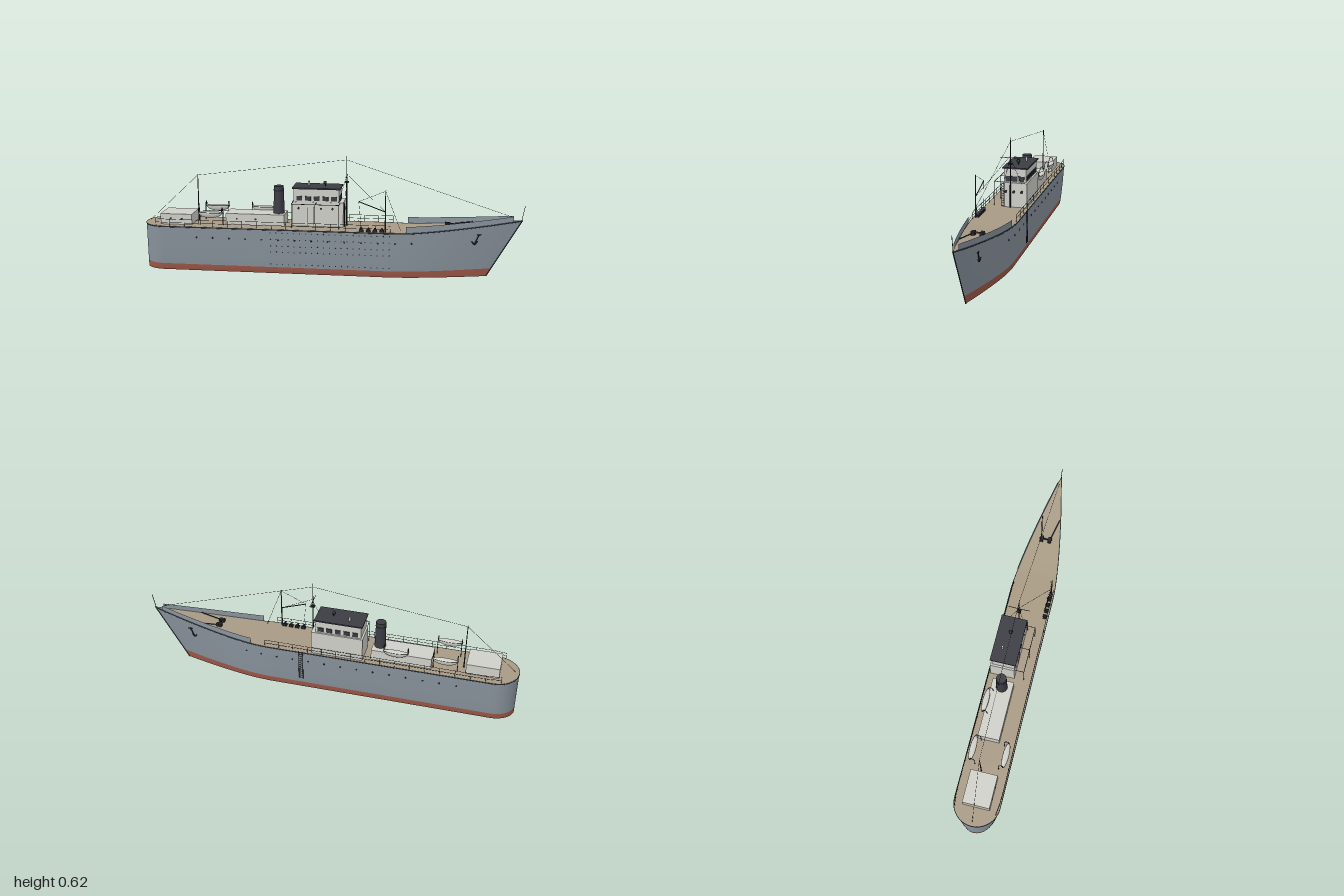
import * as THREE from 'three';

const V = (x, y, z) => new THREE.Vector3(x, y, z);
const mat = (name, color, side = THREE.FrontSide) => {
  const m = new THREE.MeshStandardMaterial({ color, side });
  m.name = name;
  return m;
};

// Hull rules: deck half width, sheer height, and a point on the side (t = 0 keel edge, 1 deck edge)
const half = x => {
  if (x < -0.883) return 0.117 * Math.sqrt(Math.max(0, 1 - ((x + 0.883) / 0.117) ** 2));
  return x < 0.3 ? 0.117 : 0.117 * (1 - Math.min(1, (x - 0.3) / 0.69) ** 1.4);
};
const sheer = x => 0.245 + 0.06 * (Math.max(0, x - 0.4) / 0.59) ** 1.3;
const hullPoint = (x, t, s) => V(
  x > 0.4 ? 0.4 + (x - 0.4) * (0.703 + 0.297 * t) : x,
  t * sheer(x),
  s * half(x) * (0.778 + 0.222 * t ** 0.65));

// Smooth surface through a grid of points
function grid(nu, nv, f) {
  const pos = [], idx = [];
  for (let i = 0; i <= nu; i++) for (let j = 0; j <= nv; j++) pos.push(...f(i, j / nv).toArray());
  for (let i = 0; i < nu; i++) for (let j = 0; j < nv; j++) {
    const a = i * (nv + 1) + j, b = a + nv + 1;
    idx.push(a, b, a + 1, b, b + 1, a + 1);
  }
  const g = new THREE.BufferGeometry();
  g.setAttribute('position', new THREE.Float32BufferAttribute(pos, 3));
  g.setIndex(idx);
  g.computeVertexNormals();
  return g;
}

export function createModel() {
  const root = new THREE.Group();
  root.name = 'ship';
  const hullGrey = mat('hull grey', 0x8a949e, THREE.DoubleSide);
  const red = mat('bottom red', 0xa25a4a, THREE.DoubleSide);
  const tan = mat('deck tan', 0xa89b85, THREE.DoubleSide);
  const white = mat('house white', 0xd0d0ca);
  const dark = mat('fitting black', 0x26282c);
  const roofGrey = mat('roof charcoal', 0x3c3c44);
  const trim = mat('trim slate', 0x3a4149);
  const glass = mat('window glass', 0x363b42);

  const add = (name, geo, m, p, parent = root) => {
    const mesh = new THREE.Mesh(geo, m);
    mesh.name = name;
    if (p) mesh.position.copy(p);
    parent.add(mesh);
    return mesh;
  };
  const group = name => {
    const g = new THREE.Group();
    g.name = name;
    root.add(g);
    return g;
  };
  // Box given by its limits
  const box = (name, m, x0, x1, y0, y1, z0, z1, parent) =>
    add(name, new THREE.BoxGeometry(x1 - x0, y1 - y0, z1 - z0), m,
      V((x0 + x1) / 2, (y0 + y1) / 2, (z0 + z1) / 2), parent);
  const rod = (name, a, b, r, m = dark, parent = root, r2 = r) => {
    const d = b.clone().sub(a);
    const mesh = add(name, new THREE.CylinderGeometry(r2, r, d.length(), 6), m, a.clone().add(b).multiplyScalar(0.5), parent);
    mesh.quaternion.setFromUnitVectors(V(0, 1, 0), d.normalize());
    return mesh;
  };
  const tube = (name, pts, r, m = dark, parent = root) =>
    add(name, new THREE.TubeGeometry(new THREE.CatmullRomCurve3(pts), pts.length * 4, r, 5), m, null, parent);
  const disc = (name, r, p, axis, parent, m = dark) => {
    const d = add(name, new THREE.CylinderGeometry(r, r, 0.004, 12), m, p, parent);
    d.rotation[axis === 'x' ? 'z' : 'x'] = Math.PI / 2;
  };

  // Hull stations, bow to stern along one side and back along the other
  const xs = [];
  for (let i = 0; i <= 28; i++) xs.push(0.99 - 0.69 * i / 28);
  for (let i = 1; i <= 6; i++) xs.push(0.3 - 1.183 * i / 6);
  for (let i = 1; i <= 14; i++) xs.push(-0.883 - 0.117 * Math.sin(i / 14 * Math.PI / 2));
  const ring = [...xs.map(x => [x, 1]), ...xs.slice(0, -1).reverse().map(x => [x, -1])];
  const WL = 0.143;
  add('bottomPaint', grid(ring.length - 1, 3, (i, v) => hullPoint(ring[i][0], v * WL, ring[i][1])), red);
  add('hull', grid(ring.length - 1, 10, (i, v) => hullPoint(ring[i][0], WL + v * (1 - WL), ring[i][1])), hullGrey);
  add('deck', grid(xs.length - 1, 1, (i, v) => {
    const p = hullPoint(xs[i], 1, 1 - 2 * v);
    p.y -= 0.001;
    return p;
  }), tan);
  rod('stem', V(0.815, 0, 0), V(0.99, 0.305, 0), 0.003, trim);
  add('gunwale', new THREE.TubeGeometry(new THREE.CatmullRomCurve3(
    ring.map(([x, s]) => hullPoint(x, 0.985, s))), 200, 0.003, 5), trim);

  // Paired hull fittings
  for (const s of [1, -1]) {
    add('bowBulwark', grid(20, 1, (i, v) => {
      const x = 0.4 + 0.545 * i / 20, p = hullPoint(x, 1, s);
      p.y += v * (0.033 - 0.007 * i / 20);
      return p;
    }), hullGrey);

    const holes = group('hullPortholes');
    for (let i = 0; i < 14; i++) disc('porthole', 0.005, hullPoint(-0.7 + i * 0.087, 0.76, s), 'z', holes);

    const rail = group('deckRailing');
    const edge = (x, h) => V(x, 0.245 + h, s * (half(x) - 0.005));
    for (let i = 0; i <= 16; i++) {
      const x = -0.92 + i * 0.0775;
      rod('stanchion', edge(x, 0), edge(x, 0.036), 0.0011, dark, rail);
    }
    for (const h of [0.018, 0.036])
      tube('railBar', [-0.92, -0.88, -0.5, 0, 0.32].map(x => edge(x, h)), 0.0011, dark, rail);

    // Anchor with its chain and windlass drum
    const a = group('anchor');
    const top = hullPoint(0.79, 0.83, s), low = hullPoint(0.79, 0.65, s);
    top.z += s * 0.004;
    low.z += s * 0.004;
    rod('shank', top, low, 0.003, dark, a);
    tube('flukes', [V(low.x - 0.016, low.y + 0.016, low.z + s * 0.003), low, V(low.x + 0.014, low.y + 0.016, low.z - s * 0.002)], 0.003, dark, a);
    rod('stock', V(top.x - 0.011, top.y, top.z), V(top.x + 0.011, top.y, top.z), 0.0028, dark, a);
    rod('anchorChain', V(0.61, sheer(0.61) + 0.008, s * 0.024), V(0.74, sheer(0.74) + 0.004, s * 0.05), 0.0025, dark, a);
    box('windlassDrum', dark, 0.595, 0.625, sheer(0.6), sheer(0.6) + 0.018, s * 0.022 - 0.009, s * 0.022 + 0.009, a);
  }
  rod('windlassShaft', V(0.61, 0.272, -0.035), V(0.61, 0.272, 0.035), 0.004);
  rod('jackstaff', V(0.985, 0.3, 0), V(1, 0.38, 0), 0.0015);

  // Dotted lines along the port side
  const dots = group('sideFittings');
  for (const y of [0.225, 0.19, 0.153, 0.12, 0.052])
    for (let i = 0; i <= 20; i++) disc('fitting', 0.0028, hullPoint(-0.305 + i * 0.031, y / 0.245, 1), 'z', dots);

  // Deckhouses
  box('aftHouse', white, -0.905, -0.735, 0.244, 0.3, -0.07, 0.07);
  box('middleHouse', white, -0.56, -0.245, 0.244, 0.302, -0.08, 0.032);
  box('lowerBridge', white, -0.205, 0.067, 0.244, 0.374, -0.105, 0.023);
  box('wheelhouse', white, -0.195, 0.045, 0.374, 0.443, -0.096, 0.022);
  box('wheelhouseRoof', roofGrey, -0.203, 0.052, 0.443, 0.45, -0.105, 0.03);

  // Windows, portholes and door as thin plates
  const win = group('windows');
  for (const z of [0.0235, -0.0975])
    for (let i = 0; i < 5; i++) {
      const x = -0.18 + i * 0.046;
      box('sideWindow', glass, x, x + 0.03, 0.382, 0.405, z - 0.0025, z + 0.0025, win);
    }
  for (const [z0, z1] of [[-0.05, 0.012], [-0.086, -0.056]])
    box('frontWindow', glass, 0.043, 0.048, 0.378, 0.404, z0, z1, win);
  for (const z of [0.007, -0.035, -0.078]) disc('frontPorthole', 0.008, V(0.068, 0.326, z), 'x', win);
  for (const x of [-0.17, -0.05, 0.01]) disc('sidePorthole', 0.006, V(x, 0.34, 0.0235), 'z', win);
  for (const x of [-0.85, -0.79, -0.5, -0.4]) disc('housePorthole', 0.005, V(x, 0.275, x < -0.7 ? 0.071 : 0.033), 'z', win);
  for (const x of [-0.122, -0.09]) box('doorEdge', trim, x, x + 0.003, 0.25, 0.345, 0.021, 0.025, win);

  // Bridge wing frame
  const wing = group('bridgeWing');
  for (const x of [-0.2, -0.075, 0.05]) {
    rod('wingPost', V(x, 0.245, 0.073), V(x, 0.372, 0.073), 0.0014, dark, wing);
    rod('wingBeam', V(x, 0.372, 0.02), V(x, 0.372, 0.073), 0.0014, dark, wing);
  }
  rod('wingRail', V(-0.2, 0.372, 0.073), V(0.05, 0.372, 0.073), 0.0016, dark, wing);

  // Ladders: one on the bridge front, one over the starboard side
  const ladder = (name, x0, x1, z0, z1, y0, y1, n) => {
    const g = group(name);
    rod('stile', V(x0, y0, z0), V(x0, y1, z0), 0.0016, dark, g);
    rod('stile', V(x1, y0, z1), V(x1, y1, z1), 0.0016, dark, g);
    for (let i = 0; i < n; i++) {
      const y = y0 + (y1 - y0) * (i + 0.5) / n;
      rod('rung', V(x0, y, z0), V(x1, y, z1), 0.0014, dark, g);
    }
  };
  ladder('bridgeLadder', 0.073, 0.073, 0.013, 0.027, 0.247, 0.374, 10);
  ladder('sideLadder', 0.11, 0.132, -0.12, -0.12, 0.075, 0.25, 13);

  // Funnel and roof gear
  add('funnel', new THREE.CylinderGeometry(0.026, 0.031, 0.2, 20), roofGrey, V(-0.282, 0.348, -0.024));
  add('funnelBand', new THREE.CylinderGeometry(0.0275, 0.0275, 0.006, 20), dark, V(-0.282, 0.425, -0.024));
  rod('searchlightPost', V(-0.035, 0.45, -0.036), V(-0.035, 0.466, -0.036), 0.003);
  disc('searchlight', 0.01, V(-0.033, 0.468, -0.036), 'x', root);
  add('searchlightBody', new THREE.SphereGeometry(0.009, 12, 8), dark, V(-0.037, 0.468, -0.036));
  add('roofVent', new THREE.CylinderGeometry(0.006, 0.006, 0.022, 10), white, V(-0.125, 0.46, -0.057));

  // Masts, yard and derrick
  const Z = -0.021, head = V(0.08, 0.595, Z);
  rod('mainMast', V(0.08, 0.245, Z), V(0.08, 0.614, Z), 0.0042, dark, root, 0.0018);
  rod('yard', V(0.08, 0.51, -0.077), V(0.08, 0.51, 0.034), 0.0015);
  box('mastPlatform', dark, 0.07, 0.09, 0.475, 0.481, Z - 0.01, Z + 0.01);
  rod('aftMast', V(-0.72, 0.245, Z), V(-0.72, 0.5, Z), 0.0035, dark, root, 0.002);
  rod('derrickPost', V(0.293, 0.245, 0.104), V(0.293, 0.465, 0.104), 0.004, trim, root, 0.0025);
  rod('derrickBoom', V(0.293, 0.352, 0.104), V(0.155, 0.402, 0.1), 0.0025);
  const winches = group('deckWinches');
  for (const x of [0.17, 0.205, 0.24, 0.275]) {
    box('winchBase', dark, x - 0.011, x + 0.011, 0.244, 0.254, 0.09, 0.108, winches);
    rod('winchDrum', V(x, 0.258, 0.088), V(x, 0.258, 0.109), 0.006, dark, winches);
  }

  // Rigging
  const rig = group('rigging');
  for (const [a, b] of [
    [V(-0.98, 0.25, 0), V(-0.72, 0.495, Z)], [V(-0.72, 0.495, Z), head], [head, V(0.94, 0.32, 0)],
    [V(0.08, 0.51, Z), V(0.04, 0.374, 0.023)], [V(0.08, 0.51, Z), V(0.06, 0.3, -0.105)],
    [V(0.08, 0.52, Z), V(0.293, 0.352, 0.104)], [V(0.293, 0.46, 0.104), V(0.155, 0.402, 0.1)],
    [V(0.155, 0.402, 0.1), V(0.17, 0.255, 0.1)], [V(0.293, 0.46, 0.104), V(0.37, 0.25, 0.08)],
  ]) rod('wire', a, b, 0.0008, dark, rig);

  // Lifeboats hung on curved davits
  for (const [x, s] of [[-0.63, 1], [-0.63, -1], [-0.375, -1]]) {
    const g = group('lifeboat'), z = s * 0.085;
    const hull = add('boatHull', new THREE.SphereGeometry(1, 20, 8, 0, Math.PI * 2, Math.PI / 2, Math.PI / 2), white, V(x, 0.318, z), g);
    hull.scale.set(0.065, 0.03, 0.016);
    const cover = add('boatCover', new THREE.SphereGeometry(1, 20, 4, 0, Math.PI * 2, 0, Math.PI / 2), white, V(x, 0.318, z), g);
    cover.scale.set(0.065, 0.006, 0.016);
    const rim = add('boatRim', new THREE.TorusGeometry(1, 0.02, 5, 28), dark, V(x, 0.318, z), g);
    rim.rotation.x = Math.PI / 2;
    rim.scale.set(0.065, 0.016, 0.06);
    for (const d of [-0.062, 0.062])
      tube('davit', [V(x + d, 0.245, s * 0.062), V(x + d, 0.315, s * 0.062), V(x + d, 0.342, s * 0.07),
        V(x + d, 0.342, s * 0.082), V(x + d, 0.322, s * 0.086)], 0.0018, dark, g);
  }
  return root;
}
